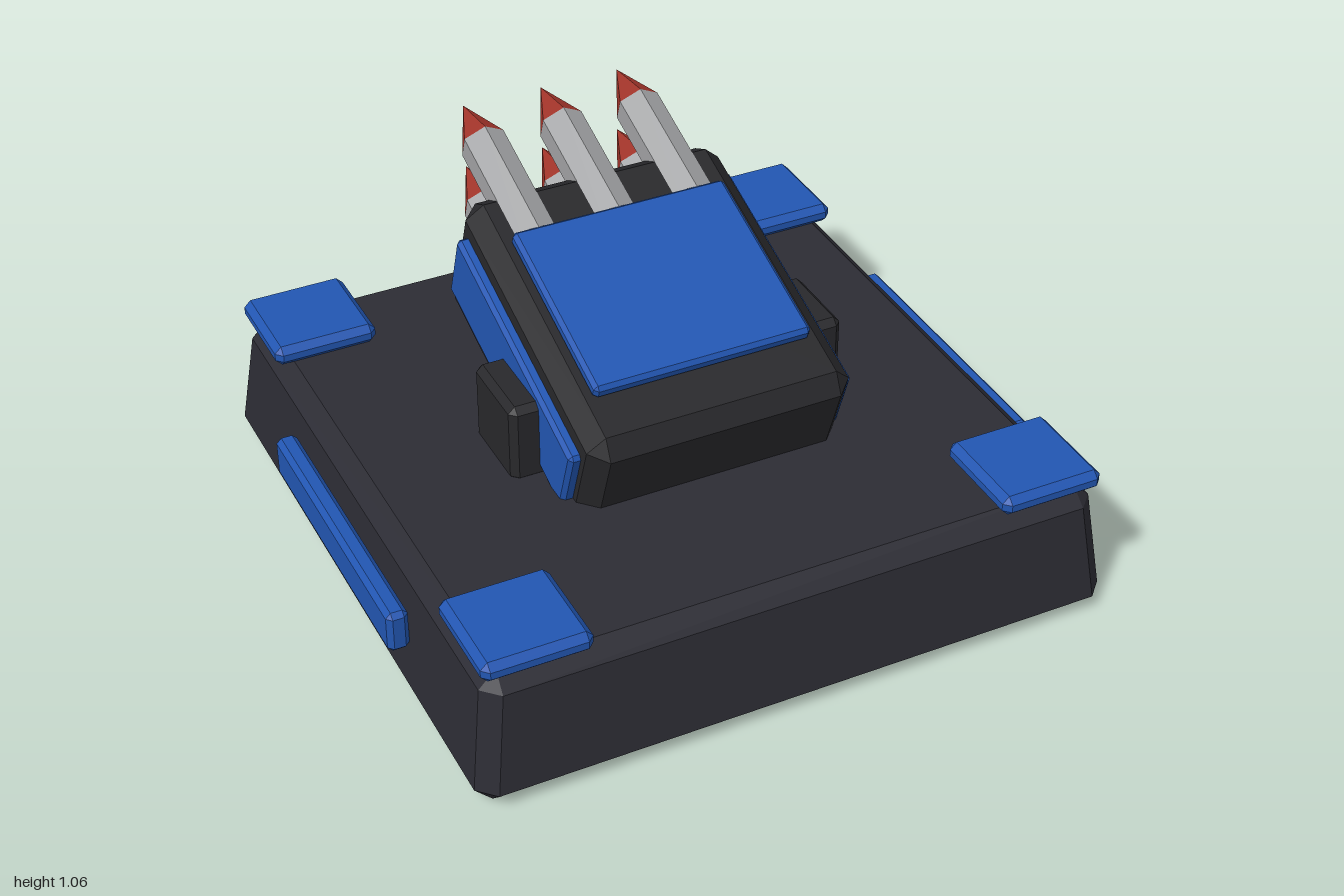
import * as THREE from 'three';
import { ConvexGeometry } from 'three/addons/geometries/ConvexGeometry.js';

const mat = (name, color) => {
  const m = new THREE.MeshStandardMaterial({ color });
  m.name = name;
  return m;
};

// Box with flat chamfers on every edge; taper(y) scales x and z by height
function chamferBox(w, h, d, b, taper = () => 1) {
  const [x, y, z] = [w / 2, h / 2, d / 2];
  const points = [];
  for (const sx of [-1, 1]) for (const sy of [-1, 1]) for (const sz of [-1, 1]) {
    for (const [px, py, pz] of [[x, y - b, z - b], [x - b, y, z - b], [x - b, y - b, z]]) {
      const k = taper(sy * py);
      points.push(new THREE.Vector3(sx * px * k, sy * py, sz * pz * k));
    }
  }
  return new ConvexGeometry(points);
}

function add(parent, name, geometry, material, x, y, z) {
  const mesh = new THREE.Mesh(geometry, material);
  mesh.name = name;
  mesh.position.set(x, y, z);
  parent.add(mesh);
  return mesh;
}

// Six-sided cylinder or cone pointing to -z, with flat normals
function hexagonal(rTop, rBottom, length) {
  const g = new THREE.CylinderGeometry(rTop, rBottom, length, 6).rotateX(-Math.PI / 2).toNonIndexed();
  g.computeVertexNormals();
  return g;
}

export function createModel() {
  const model = new THREE.Group();
  model.name = 'missileLauncher';
  const baseDark = mat('baseCharcoal', 0x2c2c34);
  const dark = mat('launcherCharcoal', 0x28282b);
  const blue = mat('blue', 0x2256b2);
  const grey = mat('missileGrey', 0xa2a3a5);
  const red = mat('warheadRed', 0xa0342a);

  // Base slab, narrowing towards the top
  const taper = (y) => 1 - 0.045 * THREE.MathUtils.clamp((y + 0.15) / 0.33, 0, 1);
  add(model, 'base', chamferBox(1.91, 0.4, 1.91, 0.05, taper), baseDark, 0, 0.2, 0);

  // Corner pads, side strips and pivot brackets
  const padGeo = chamferBox(0.312, 0.062, 0.312, 0.02);
  const stripGeo = chamferBox(0.063, 0.13, 0.89, 0.015);
  const bracketGeo = chamferBox(0.11, 0.25, 0.262, 0.02);
  for (const s of [-1, 1]) {
    for (const t of [-1, 1]) add(model, 'cornerPad', padGeo, blue, s * 0.765, 0.432, t * 0.765);
    add(model, 'sideStrip', stripGeo, blue, s * 0.9685, 0.228, 0);
    add(model, 'pivotBracket', bracketGeo, dark, s * 0.46, 0.507, 0.043);
  }

  // Tilted launcher, raised towards the back
  const launcher = new THREE.Group();
  launcher.name = 'launcher';
  launcher.position.set(0, 0.59, -0.046);
  launcher.rotation.x = 0.335;
  model.add(launcher);
  add(launcher, 'launcherBox', chamferBox(0.8, 0.45, 0.95, 0.05), dark, 0, 0, 0);
  add(launcher, 'topPlate', chamferBox(0.66, 0.045, 0.58, 0.012), blue, 0, 0.246, 0.01);
  const panelGeo = chamferBox(0.06, 0.225, 0.81, 0.012);
  for (const s of [-1, 1]) add(launcher, 'sidePanel', panelGeo, blue, s * 0.403, 0.018, 0);

  // Two rows of three missiles
  const bodyGeo = hexagonal(0.07, 0.07, 0.5);
  const tipGeo = hexagonal(0, 0.07, 0.15);
  for (const [y, end] of [[0.19, 0.67], [-0.004, 0.603]]) {
    for (const x of [-0.247, 0, 0.247]) {
      add(launcher, 'missileBody', bodyGeo, grey, x, y, -end + 0.25);
      add(launcher, 'warhead', tipGeo, red, x, y, -end - 0.075);
    }
  }
  return model;
}
